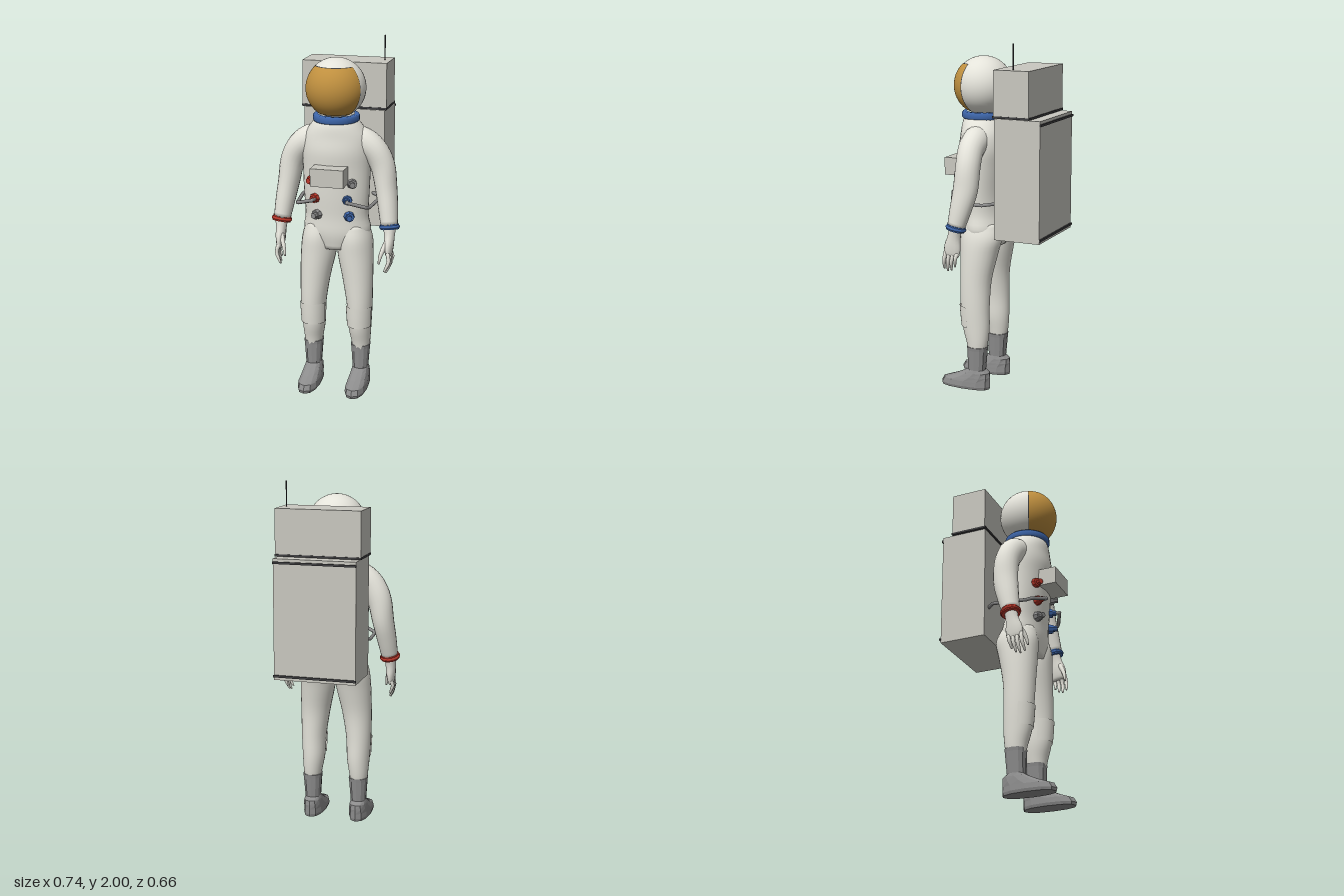
import * as THREE from 'three';
import { mergeVertices } from 'three/addons/utils/BufferGeometryUtils.js';

const mat = (name, color, side = THREE.FrontSide) => {
  const m = new THREE.MeshStandardMaterial({ color, side });
  m.name = name;
  return m;
};

// Skin over elliptical sections [x, y, z, radiusU, radiusZ] along a path
function loft(sections, { n = 20, steps = 4, level = false, flat = false, power = 1, arc = null } = {}) {
  const path = new THREE.CatmullRomCurve3(sections.map(s => new THREE.Vector3(s[0], s[1], s[2])), false, 'catmullrom');
  const radii = new THREE.CatmullRomCurve3(sections.map(s => new THREE.Vector3(s[3], s[4], 0)), false, 'catmullrom');
  const rows = (sections.length - 1) * steps;
  const [a0, a1] = arc || [0, Math.PI * 2];
  const pos = [], idx = [], Z = new THREE.Vector3(0, 0, 1);
  const bend = v => Math.sign(v) * Math.pow(Math.abs(v), power);
  for (let i = 0; i <= rows; i++) {
    const c = path.getPoint(i / rows), r = radii.getPoint(i / rows);
    const t = level ? new THREE.Vector3(0, 1, 0) : path.getTangent(i / rows);
    const u = t.clone().cross(Z).normalize(), v = u.clone().cross(t);
    for (let j = 0; j <= n; j++) {
      const a = a0 + (a1 - a0) * (j % n === 0 && !arc ? 0 : j / n);
      const p = c.clone().addScaledVector(u, bend(Math.cos(a)) * r.x).addScaledVector(v, bend(Math.sin(a)) * r.y);
      pos.push(p.x, p.y, p.z);
    }
  }
  const w = n + 1;
  for (let i = 0; i < rows; i++) for (let j = 0; j < n; j++) {
    const a = i * w + j, b = a + w;
    idx.push(a, b, a + 1, b, b + 1, a + 1);
  }
  // close both ends
  if (!arc) for (const row of [0, rows]) {
    const c = path.getPoint(row / rows), k = pos.length / 3;
    pos.push(c.x, c.y, c.z);
    for (let j = 0; j < n; j++) {
      const a = row * w + j;
      row ? idx.push(k, a + 1, a) : idx.push(k, a, a + 1);
    }
  }
  let g = new THREE.BufferGeometry();
  g.setAttribute('position', new THREE.Float32BufferAttribute(pos, 3));
  g.setIndex(idx);
  g = mergeVertices(g, 1e-5);
  if (flat) g = g.toNonIndexed();
  g.computeVertexNormals();
  return g;
}

export function createModel() {
  const suit = mat('suit white', 0xe4e3da);
  const patch = mat('patch white', 0xe4e3da, THREE.DoubleSide);
  const pack = mat('pack grey', 0xc9c8c0);
  const grey = mat('boot grey', 0x8c8c8c);
  const dark = mat('dark trim', 0x3e3e40);
  const gold = mat('visor gold', 0xc0903f);
  const blue = mat('blue', 0x3f68ad);
  const red = mat('red', 0xc03a2c);

  const model = new THREE.Group();
  model.name = 'spacesuit';
  const add = (name, geo, material, x = 0, y = 0, z = 0) => {
    const m = new THREE.Mesh(geo, material);
    m.name = name;
    m.position.set(x, y, z);
    model.add(m);
    return m;
  };
  const box = (name, material, w, h, d, x, y, z) => add(name, new THREE.BoxGeometry(w, h, d), material, x, y, z);

  // Torso
  add('torso', loft([
    [0, 0.84, 0.095, 0.12, 0.10], [0, 0.93, 0.09, 0.19, 0.124], [0, 1.03, 0.102, 0.18, 0.115],
    [0, 1.15, 0.11, 0.186, 0.118], [0, 1.3, 0.106, 0.192, 0.132], [0, 1.4, 0.102, 0.195, 0.145],
    [0, 1.48, 0.102, 0.182, 0.138], [0, 1.54, 0.11, 0.145, 0.125], [0, 1.58, 0.113, 0.11, 0.11],
  ], { n: 32, level: true }), suit);

  // Helmet, visor and neck ring
  const deg = Math.PI / 180;
  const shell = (r, half, top, bottom) => new THREE.SphereGeometry(
    r, 32, 24, (90 - half) * deg, 2 * half * deg, top * deg, (bottom - top) * deg);
  add('helmet', new THREE.SphereGeometry(0.165, 40, 28), suit, 0, 1.746, 0.12);
  add('visorTrim', shell(0.1665, 67, 41.5, 146), dark, 0, 1.746, 0.12);
  add('visor', shell(0.168, 65.5, 43.5, 144.5), gold, 0, 1.746, 0.12);
  add('neckRing', new THREE.LatheGeometry([[0.1, -0.02], [0.122, -0.02], [0.129, -0.012], [0.129, 0.012], [0.122, 0.02], [0.1, 0.02]]
    .map(p => new THREE.Vector2(...p)), 36), blue, 0, 1.583, 0.114);

  // Backpack
  box('packLower', pack, 0.466, 0.675, 0.27, 0, 0.9575 + 0.3, -0.187);
  box('packUpper', pack, 0.484, 0.25, 0.208, 0, 1.734, -0.155);
  box('packSeam', dark, 0.488, 0.012, 0.216, 0, 1.604, -0.155);
  for (const y of [0.942, 1.573]) box('packStrip', dark, 0.47, 0.012, 0.01, 0, y, -0.326);
  add('antenna', new THREE.CylinderGeometry(0.0035, 0.0035, 0.15, 8), dark, 0.208, 1.925, -0.155);

  // Chest unit
  box('chestUnit', pack, 0.186, 0.1, 0.115, 0, 1.285, 0.2665);

  // Hose connectors: collar with a smaller nozzle
  const connectors = [
    [-0.115, 1.243, red], [-0.097, 1.14, red], [-0.088, 1.045, grey],
    [0.115, 1.235, grey], [0.088, 1.14, blue], [0.1, 1.045, blue],
  ];
  for (const [x, y, m] of connectors) for (const [r, len, z] of [[0.03, 0.03, 0.214], [0.019, 0.05, 0.226]]) {
    const c = add('connector', new THREE.CylinderGeometry(r * 0.85, r, len, 8).toNonIndexed(), m, x, y, z);
    c.geometry.computeVertexNormals();
    c.rotation.set(Math.PI / 2, 0, -x * 4);
  }

  for (const s of [1, -1]) {
    const side = s > 0 ? 'left' : 'right';
    const mirror = rows => rows.map(([x, ...rest]) => [s * x, ...rest]);

    // Leg, knee patch and boot
    add(side + 'Leg', loft(mirror([
      [0.142, 0.22, 0.1, 0.046, 0.052], [0.14, 0.28, 0.1, 0.055, 0.064], [0.136, 0.37, 0.108, 0.066, 0.08],
      [0.136, 0.5, 0.114, 0.073, 0.086], [0.125, 0.65, 0.113, 0.086, 0.092], [0.108, 0.8, 0.1, 0.101, 0.11],
      [0.1, 0.9, 0.09, 0.1, 0.122], [0.09, 0.98, 0.095, 0.085, 0.1],
    ]), { n: 24, level: true }), suit);
    add(side + 'KneePatch', loft(mirror([
      [0.136, 0.375, 0.108, 0.073, 0.087], [0.136, 0.435, 0.111, 0.076, 0.09], [0.136, 0.5, 0.114, 0.079, 0.092],
    ]), { n: 12, level: true, arc: [0.3, Math.PI - 0.3] }), patch);
    add(side + 'Boot', loft(mirror([
      [0.14, 0, 0.175, 0.056, 0.152], [0.14, 0.016, 0.175, 0.061, 0.156], [0.14, 0.045, 0.167, 0.059, 0.147],
      [0.14, 0.07, 0.132, 0.055, 0.112], [0.14, 0.097, 0.105, 0.05, 0.08], [0.14, 0.115, 0.102, 0.045, 0.052],
      [0.14, 0.235, 0.098, 0.054, 0.058], [0.14, 0.255, 0.098, 0.057, 0.06],
    ]), { n: 12, steps: 1, level: true, flat: true, power: 0.85 }), grey);

    // Arm
    add(side + 'Arm', loft(mirror([
      [0.07, 1.46, 0.1, 0.08, 0.08], [0.145, 1.447, 0.1, 0.084, 0.078], [0.212, 1.405, 0.1, 0.074, 0.072],
      [0.258, 1.32, 0.095, 0.069, 0.07], [0.28, 1.2, 0.1, 0.061, 0.071], [0.297, 1.09, 0.122, 0.055, 0.062],
      [0.31, 0.99, 0.145, 0.047, 0.05],
    ])), suit);
    const cuff = add(side + 'Cuff', new THREE.CylinderGeometry(0.053, 0.053, 0.03, 12), s > 0 ? blue : red, s * 0.312, 0.985, 0.144);
    cuff.name = side + 'Cuff';
    cuff.quaternion.setFromUnitVectors(new THREE.Vector3(0, 1, 0), new THREE.Vector3(-s * 0.12, 1, -0.22).normalize());
    const lip = add(side + 'CuffLip', new THREE.TorusGeometry(0.051, 0.009, 6, 12), cuff.material, s * 0.312, 0.985, 0.144);
    lip.quaternion.copy(cuff.quaternion).multiply(new THREE.Quaternion().setFromAxisAngle(new THREE.Vector3(1, 0, 0), Math.PI / 2));

    // Glove
    add(side + 'Palm', loft(mirror([
      [0.312, 0.99, 0.144, 0.038, 0.038], [0.314, 0.935, 0.155, 0.03, 0.038], [0.314, 0.88, 0.165, 0.026, 0.05],
      [0.315, 0.835, 0.17, 0.018, 0.047], [0.315, 0.82, 0.172, 0.008, 0.036],
    ]), { n: 12, steps: 3 }), suit);
    for (let i = 0; i < 4; i++) {
      const z = 0.135 + i * 0.024, drop = [0.03, 0.008, 0, 0.012][i];
      add(side + 'Finger', loft(mirror([
        [0.315, 0.85, z, 0.012, 0.012], [0.33 - i * 0.002, 0.8 + drop / 2, z + 0.006, 0.011, 0.011],
        [0.322 - i * 0.003, 0.76 + drop, z + 0.012, 0.009, 0.009], [0.312 - i * 0.004, 0.733 + drop, z + 0.016, 0.005, 0.005],
      ]), { n: 8, steps: 2 }), suit);
    }
    add(side + 'Thumb', loft(mirror([
      [0.305, 0.91, 0.18, 0.014, 0.014], [0.288, 0.865, 0.208, 0.013, 0.013],
      [0.276, 0.825, 0.222, 0.01, 0.01], [0.271, 0.79, 0.228, 0.005, 0.005],
    ]), { n: 8, steps: 2 }), suit);

    // Hose from chest connector around to the pack
    const hose = new THREE.CurvePath();
    const pts = [[0.1, 1.14, 0.268], [0.195, 1.108, 0.222], [0.205, 1.1, 0.19], [0.222, 1.105, 0.03], [0.215, 1.112, -0.01], [0.17, 1.115, -0.055]]
      .map(([x, y, z]) => new THREE.Vector3(s * x, y, z));
    for (let i = 1; i < pts.length; i++) hose.add(new THREE.LineCurve3(pts[i - 1], pts[i]));
    add(side + 'Hose', new THREE.TubeGeometry(hose, 40, 0.01, 8), grey);
    add(side + 'HoseEnd', new THREE.SphereGeometry(0.0105, 10, 8), grey, ...pts[0].toArray());
    // Short link between connector and hose
    const link = new THREE.LineCurve3(new THREE.Vector3(s * 0.092, 1.14, 0.23), pts[0]);
    add(side + 'HoseLink', new THREE.TubeGeometry(link, 1, 0.01, 8), grey);
  }
  return model;
}
